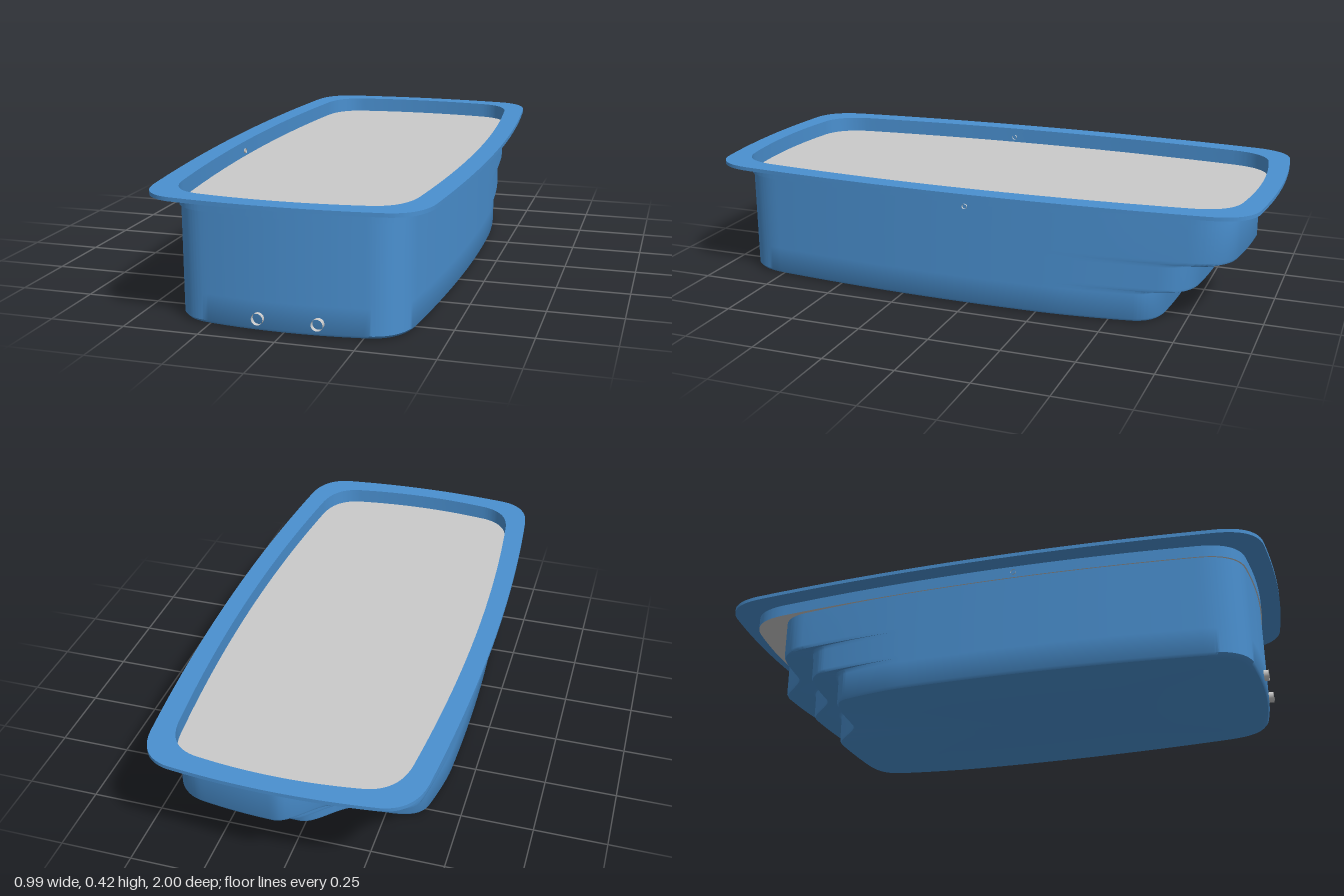
import * as THREE from 'three';
import { toCreasedNormals } from 'three/addons/utils/BufferGeometryUtils.js';

// Rounded oblong with gently bowed sides; shape y runs toward the back (-z)
function outline(hw, hl) {
  const sx = hw - 0.04, sy = hl - 0.17, ex = hw - 0.155, ey = hl - 0.022;
  const cx = hw - 0.055, cy = hl - 0.04;
  const s = new THREE.Shape();
  s.moveTo(sx, -sy);
  s.quadraticCurveTo(hw + 0.04, 0, sx, sy);
  s.bezierCurveTo(cx + 0.005, cy - 0.04, cx - 0.035, cy + 0.005, ex, ey);
  s.quadraticCurveTo(0, hl + 0.022, -ex, ey);
  s.bezierCurveTo(-cx + 0.035, cy + 0.005, -cx - 0.005, cy - 0.04, -sx, sy);
  s.quadraticCurveTo(-hw - 0.04, 0, -sx, -sy);
  s.bezierCurveTo(-cx - 0.005, -cy + 0.04, -cx + 0.035, -cy - 0.005, -ex, -ey);
  s.quadraticCurveTo(0, -hl - 0.022, ex, -ey);
  s.bezierCurveTo(cx - 0.035, -cy - 0.005, cx + 0.005, -cy + 0.04, sx, -sy);
  return s;
}

function loopPoints(shape) {
  const pts = shape.getPoints(32);
  if (pts[0].distanceTo(pts[pts.length - 1]) < 1e-5) pts.pop();
  return pts;
}

// Skin a stack of equal-length loops of [x, y, z], optionally closing the base
function loft(loops, closeBase) {
  const n = loops[0].length, pos = loops.flat(2), idx = [];
  for (let i = 0; i < loops.length - 1; i++) {
    for (let j = 0; j < n; j++) {
      const k = (j + 1) % n;
      const a = i * n + j, b = i * n + k, c = a + n, d = b + n;
      idx.push(a, b, d, a, d, c);
    }
  }
  if (closeBase) {
    const centre = pos.length / 3;
    pos.push(0, loops[0][0][1], 0);
    for (let j = 0; j < n; j++) idx.push(centre, (j + 1) % n, j);
  }
  const g = new THREE.BufferGeometry();
  g.setAttribute('position', new THREE.Float32BufferAttribute(pos, 3));
  g.setIndex(idx);
  return toCreasedNormals(g, 0.7);
}

export function createModel() {
  const group = new THREE.Group();
  const blue = new THREE.MeshStandardMaterial({ color: 0x4a90d0, side: THREE.DoubleSide });
  blue.name = 'shell blue';
  const grey = new THREE.MeshStandardMaterial({ color: 0xcacaca, side: THREE.DoubleSide });
  grey.name = 'water grey';
  const add = (name, geo, mat) => {
    const m = new THREE.Mesh(geo, mat);
    m.name = name;
    group.add(m);
    return m;
  };

  // Basin: stepped at the back, each step set forward on the -x half by an S-curve
  const HL = 0.928, base = loopPoints(outline(0.424, HL));
  const profile = [ // height, inset, back edge
    [0.004, 0.022, 0.685], [0.007, 0.007, 0.685], [0.016, 0, 0.685],
    [0.104, 0, 0.685], [0.114, 0, 0.689], [0.12, 0, 0.70],
    [0.12, 0, 0.785], [0.123, 0, 0.796], [0.132, 0, 0.80],
    [0.21, 0, 0.80], [0.22, 0, 0.804], [0.225, 0, 0.815],
    [0.225, 0, 0.908], [0.229, 0, 0.921], [0.238, 0, 0.926], [0.37, 0, 0.926],
  ];
  const start = 0.3;
  const loops = profile.map(([y, inset, back]) => base.map((p) => {
    const x = p.x * (1 - inset / 0.424);
    let z = -p.y * (1 - inset / HL);
    if (z < -start) {
      const edge = back - 0.115 * (1 - THREE.MathUtils.smoothstep(x, -0.15, 0.02));
      z = -start + (z + start) * (edge - start) / (HL - start);
    }
    return [x, y, z];
  }));
  add('basin', loft(loops, true), blue);

  // Collar between the water line and the rim
  const inner = outline(0.429, 0.932);
  const collar = loopPoints(inner);
  add('collar', loft([0.37, 0.414].map((y) => collar.map((p) => [p.x, y, -p.y])), false), blue);

  // Flat rim
  const rimShape = outline(0.497, 1.0);
  rimShape.holes.push(new THREE.Path(collar));
  const rim = new THREE.ExtrudeGeometry(rimShape, { depth: 0.013, bevelEnabled: false, curveSegments: 32 });
  rim.rotateX(-Math.PI / 2);
  add('rim', toCreasedNormals(rim, 0.6), blue).position.y = 0.412;

  // Water surface
  const water = new THREE.ShapeGeometry(inner, 32);
  water.rotateX(-Math.PI / 2);
  add('water', water, grey).position.y = 0.37;

  // Short open pipe ends low on the front wall
  for (const x of [-0.078, 0.115]) {
    const pipe = new THREE.CylinderGeometry(0.019, 0.019, 0.03, 24, 1, true);
    pipe.rotateX(Math.PI / 2);
    add('frontInlet', pipe, grey).position.set(x, 0.048, 0.927);
  }

  // Small fittings through the side walls
  for (const [x, y, z] of [[-0.427, 0.39, 0.13], [0.426, 0.36, 0]]) {
    const ring = new THREE.CylinderGeometry(0.009, 0.009, 0.01, 16, 1, true);
    ring.rotateZ(Math.PI / 2);
    add('sideFitting', ring, grey).position.set(x, y, z);
  }
  return group;
}
